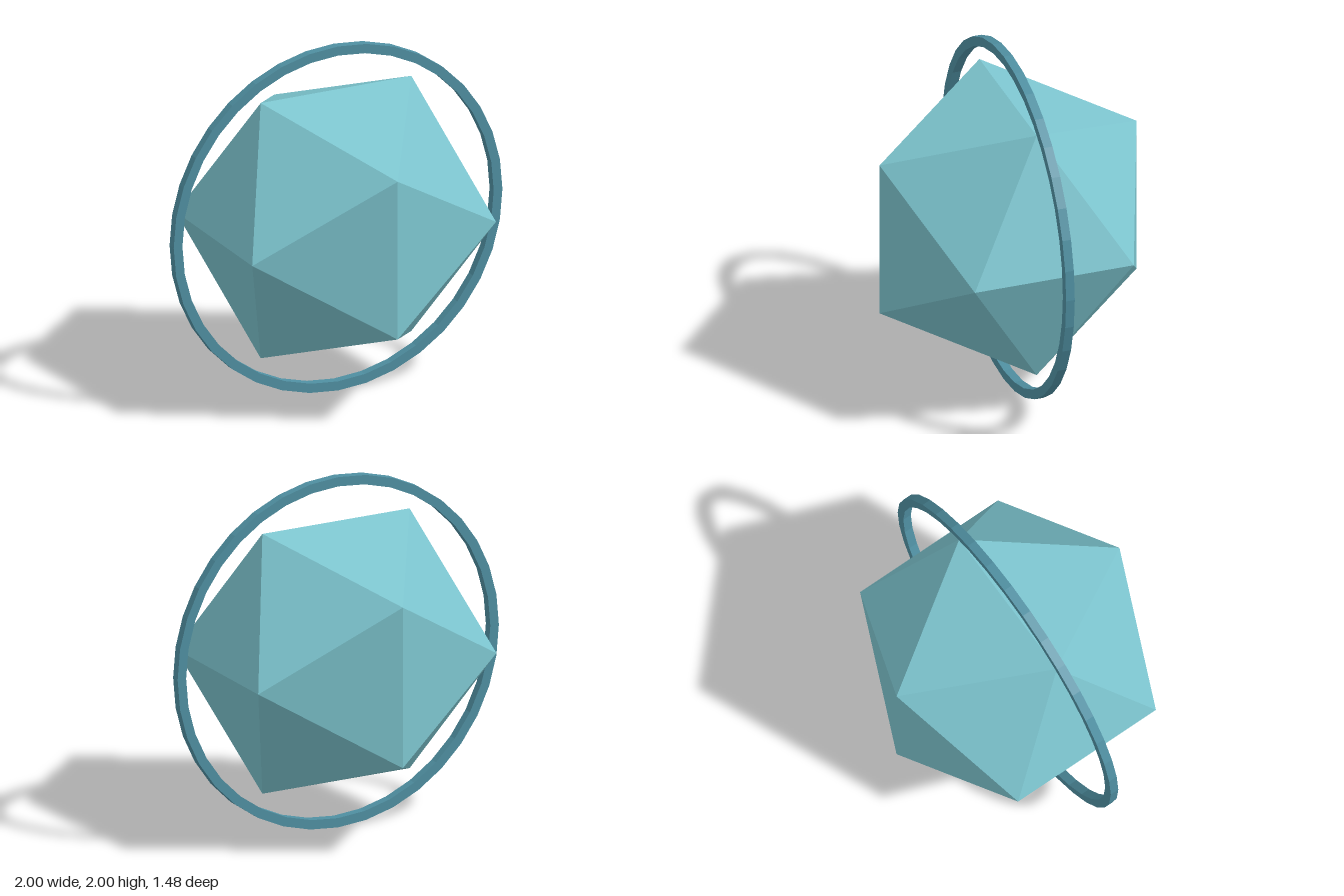
import * as THREE from 'three';

export function createModel() {
  const model = new THREE.Group();
  const paleTeal = new THREE.MeshStandardMaterial({ name: 'pale teal', color: 0x7cc4ce, flatShading: true });
  const deepTeal = new THREE.MeshStandardMaterial({ name: 'deep teal', color: 0x4f8fa1, flatShading: true });

  // Twenty-sided crystal core
  const crystal = new THREE.Mesh(new THREE.IcosahedronGeometry(0.872, 0), paleTeal);
  crystal.name = 'crystal';
  crystal.position.y = 1;

  // Upright faceted ring with a square section
  const outer = 1, inner = 0.947, half = 0.025;
  const section = [[outer, -half], [outer, half], [inner, half], [inner, -half], [outer, -half]]
    .map(([r, h]) => new THREE.Vector2(r, h));
  const ring = new THREE.Mesh(new THREE.LatheGeometry(section, 36).rotateX(Math.PI / 2), deepTeal);
  ring.name = 'ring';
  ring.position.y = 1;

  model.add(crystal, ring);
  return model;
}
